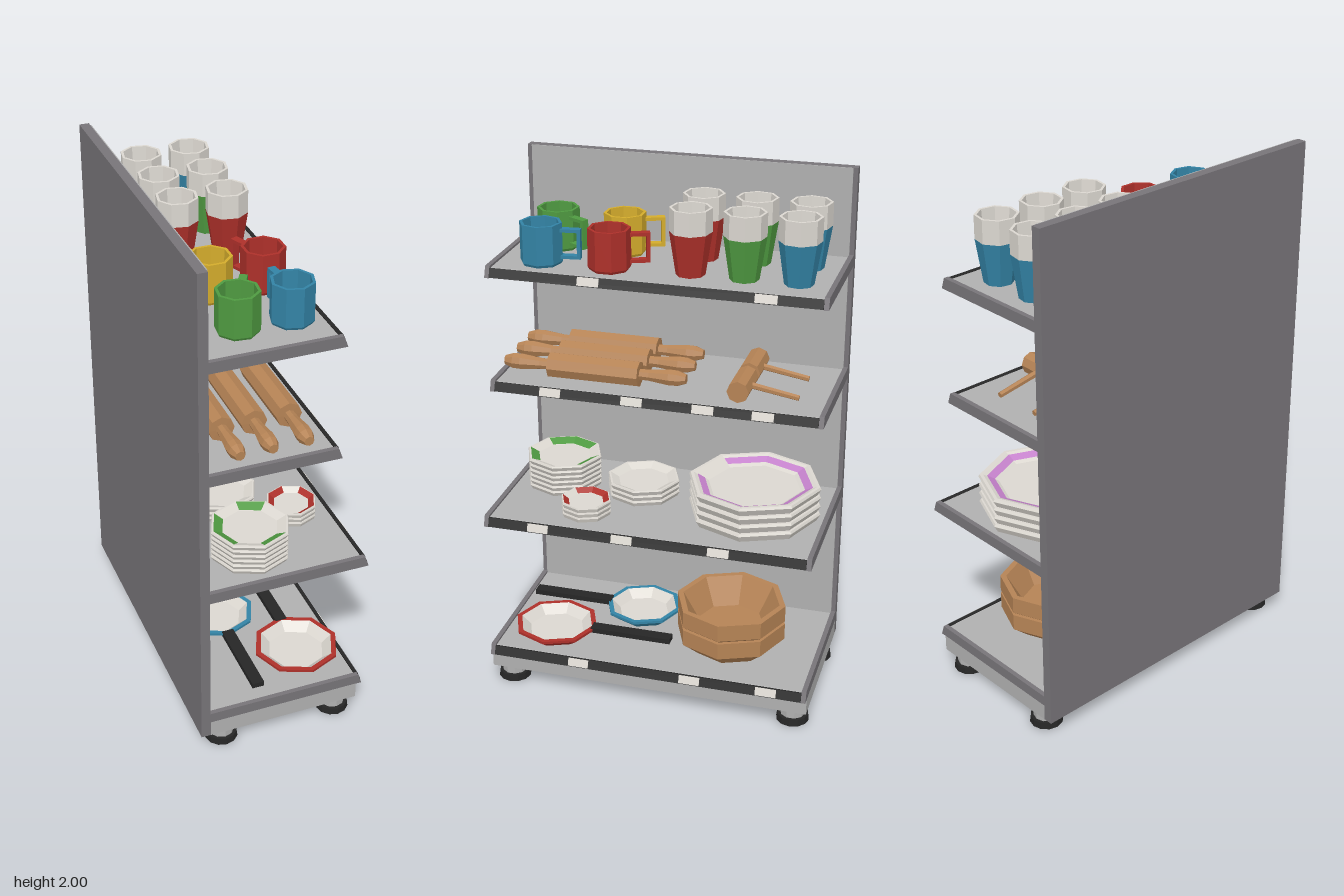
import * as THREE from 'three';

export function createModel() {
  const mat = (name, color) => {
    const m = new THREE.MeshStandardMaterial({ color, flatShading: true });
    m.name = name;
    return m;
  };
  const M = {
    light: mat('light grey', 0xb0b0b0), frame: mat('frame grey', 0x777478),
    black: mat('black', 0x262626), white: mat('white', 0xdbd7d0),
    wood: mat('wood', 0xb58355), red: mat('red', 0xad302a),
    green: mat('green', 0x4f9a41), blue: mat('blue', 0x3383a5),
    yellow: mat('yellow', 0xd4ac2c), pink: mat('pink', 0xc582cc),
  };
  const model = new THREE.Group();
  model.name = 'kitchenwareShelf';

  const add = (parent, name, geo, m, x = 0, y = 0, z = 0) => {
    const mesh = new THREE.Mesh(geo, m);
    mesh.name = name;
    mesh.position.set(x, y, z);
    parent.add(mesh);
    return mesh;
  };
  const group = (name, x, y, z, parent = model) => {
    const g = new THREE.Group();
    g.name = name;
    g.position.set(x, y, z);
    parent.add(g);
    return g;
  };
  const box = (p, name, m, w, h, d, x, y, z) => add(p, name, new THREE.BoxGeometry(w, h, d), m, x, y, z);
  // Turned parts: profile runs from the underside outward, up and back in
  const turn = (pts, segs = 8, start = 0, len = Math.PI * 2) =>
    new THREE.LatheGeometry(pts.map(([r, y]) => new THREE.Vector2(r, y)), segs, start, len);

  // Back panel with a lighter inner face
  box(model, 'backPanel', M.frame, 0.036, 1.93, 1.246, -0.307, 1.035, 0);
  box(model, 'panelFace', M.light, 0.004, 1.92, 1.212, -0.287, 1.04, 0);

  // Shelves: sloped-front slab, end rails, dark price strip with labels
  const profile = (front, y0, y1) => new THREE.Shape([
    new THREE.Vector2(-0.289, y0), new THREE.Vector2(front, y0),
    new THREE.Vector2(front - 0.015, y1), new THREE.Vector2(-0.289, y1)]);
  const slabOf = (front, y0, y1, depth) =>
    new THREE.ExtrudeGeometry(profile(front, y0, y1), { depth, bevelEnabled: false });
  const shelf = (y, front, labels) => {
    const g = group('shelf', 0, y, 0);
    add(g, 'shelfBoard', slabOf(front - 0.009, 0.002, 0.034, 1.212), M.light, 0, 0, -0.606);
    for (const z of [-0.623, 0.605]) add(g, 'endRail', slabOf(front, 0, 0.042, 0.018), M.frame, 0, 0, z);
    const strip = group('priceStrip', front - 0.009, 0.018, 0, g);
    strip.rotation.z = Math.atan2(0.015, 0.04);
    box(strip, 'strip', M.black, 0.012, 0.036, 1.21, 0, 0, 0);
    for (const z of labels) box(strip, 'label', M.white, 0.005, 0.031, 0.08, 0.006, 0, z);
  };
  shelf(1.635, 0.197, [0.235, -0.405]);
  shelf(1.195, 0.197, [0.39, 0.08, -0.185, -0.405]);
  shelf(0.695, 0.322, [0.41, 0.085, -0.28]);
  shelf(0.132, 0.322, [0.265, -0.175, -0.47]);

  // Plinth and feet
  box(model, 'plinth', M.light, 0.588, 0.064, 1.246, 0.005, 0.101, 0);
  for (const x of [-0.225, 0.23]) for (const z of [-0.56, 0.56]) {
    const f = group('foot', x, 0, z);
    add(f, 'footPad', new THREE.CylinderGeometry(0.06, 0.063, 0.026, 12), M.black, 0, 0.013, 0);
    add(f, 'footStem', new THREE.CylinderGeometry(0.048, 0.048, 0.046, 10), M.light, 0, 0.048, 0);
  }

  // Tall two-tone tumblers
  [[-0.49, M.blue], [-0.295, M.green], [-0.1, M.red]].forEach(([z, m]) => {
    for (const x of [-0.135, 0.05]) {
      const g = group('tumbler', x, 1.669, z);
      add(g, 'tumblerBase', turn([[0, 0], [0.053, 0], [0.077, 0.157]], 8, 0.2), m);
      add(g, 'tumblerTop', turn([[0.077, 0.157], [0.077, 0.243], [0.067, 0.243], [0.05, 0.02], [0, 0.02]], 8, 0.2), M.white);
    }
  });

  // Mugs with square handles
  [[-0.123, 0.193, M.yellow, 0.39], [0.07, 0.193, M.red, 0.39],
    [-0.123, 0.449, M.green, -0.51], [0.07, 0.449, M.blue, 0.12]].forEach(([x, z, m, a]) => {
    const g = group('mug', x, 1.669, z);
    g.rotation.y = a;
    add(g, 'mugBody', turn([[0, 0], [0.072, 0], [0.078, 0.01], [0.078, 0.152], [0.067, 0.152], [0.064, 0.015], [0, 0.015]]), m);
    for (const y of [0.027, 0.125]) box(g, 'handleBar', m, 0.028, 0.012, 0.075, 0, y, -0.107);
    box(g, 'handleGrip', m, 0.028, 0.11, 0.013, 0, 0.076, -0.139);
  });

  // Rolling pins
  const half = [[0.048, 0.173], [0.021, 0.174], [0.022, 0.21], [0.031, 0.285], [0.03, 0.315], [0.018, 0.348], [0, 0.348]];
  const pin = [...half.map(([r, y]) => [r, -y]).reverse(), ...half];
  for (const x of [-0.17, -0.05, 0.08]) {
    add(model, 'rollingPin', turn(pin), M.wood, x, 1.278, 0.253).rotation.x = Math.PI / 2;
  }

  // Mallets with sloping handles
  for (const x of [-0.135, 0.05]) {
    const g = group('mallet', x, 1.27, -0.297);
    add(g, 'malletHead', new THREE.CylinderGeometry(0.041, 0.041, 0.16, 8), M.wood).rotation.z = Math.PI / 2;
    const h = add(g, 'malletHandle', new THREE.CylinderGeometry(0.011, 0.013, 0.21, 6), M.wood, 0, -0.013, -0.105);
    h.rotation.x = -Math.PI / 2 - 0.17;
  }

  // Plate stacks with painted segments on the top plate
  const plates = (x, z, r, count, h, paint, from, to, segments) => {
    const g = group('plateStack', x, 0.729, z);
    for (let i = 0; i < count; i++) {
      add(g, 'plate', turn([[0, 0], [0.94 * r, 0], [r, 0.75 * h], [0.98 * r, h], [0.93 * r, h], [0.7 * r, 0.25 * h], [0, 0.25 * h]]), M.white, 0, i * h, 0);
    }
    const at = (t) => [r * (0.7 + 0.23 * t), h * (count - 0.75 + 0.75 * t) + 0.002];
    for (const s of segments) {
      add(g, 'paintedBand', turn([at(to), at(from)], 1, s * Math.PI / 4, Math.PI / 4), paint);
    }
  };
  plates(0, -0.34, 0.253, 4, 0.035, M.pink, 0.25, 0.75, [0, 1, 2, 3, 4, 5, 6]);
  plates(-0.065, 0.432, 0.15, 6, 0.021, M.green, 0, 1, [0, 3, 5, 6]);
  plates(-0.06, 0.11, 0.143, 3, 0.022, M.white, 0, 1, []);
  plates(0.165, 0.27, 0.098, 3, 0.02, M.red, 0, 1, [0, 1, 2, 4, 5, 6]);

  // Nested wooden bowls
  for (const y of [0.168, 0.246]) {
    add(model, 'woodenBowl', turn([[0, 0], [0.145, 0], [0.2, 0.048], [0.213, 0.058], [0.213, 0.124],
      [0.19, 0.124], [0.13, 0.02], [0, 0.02]]), M.wood, 0.048, y, -0.27);
  }

  // Frying pans, handles pointing opposite ways
  [[-0.08, 0.118, 0.152, M.blue, 1], [0.14, 0.412, 0.165, M.red, -1]].forEach(([x, z, r, m, dir]) => {
    const g = group('fryingPan', x, 0.168, z);
    add(g, 'panBody', turn([[0, 0], [0.72 * r, 0], [r, 0.034], [r, 0.044], [0.88 * r, 0.044]]), m);
    add(g, 'panInside', turn([[0.88 * r, 0.044], [0.66 * r, 0.012], [0, 0.012]]), M.white);
    box(g, 'panHandle', M.black, 0.046, 0.02, 0.32, 0, 0.038, dir * (r + 0.142));
  });

  return model;
}
